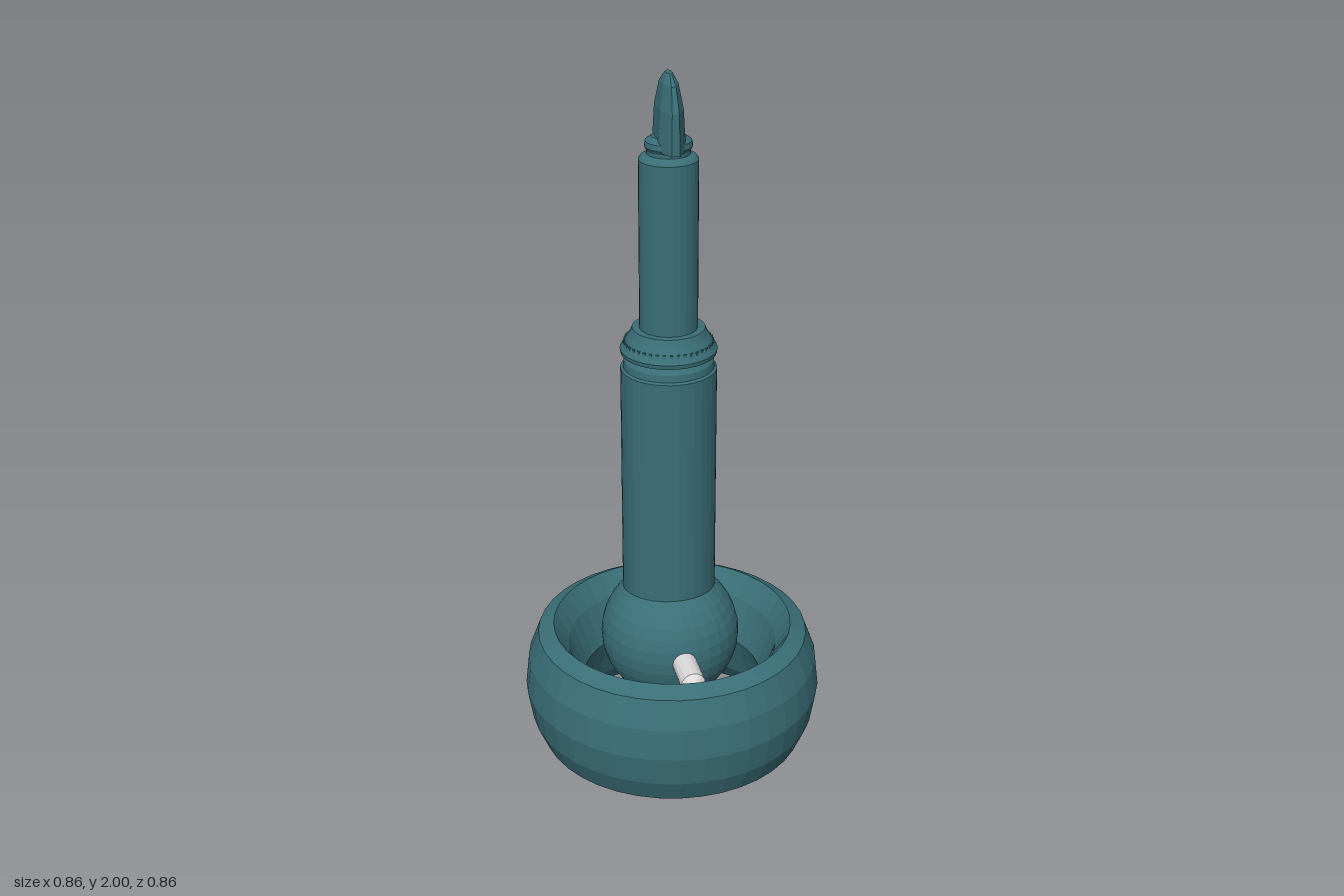
import * as THREE from 'three';
import { ConvexGeometry } from 'three/addons/geometries/ConvexGeometry.js';

export function createModel() {
  const model = new THREE.Group();
  const teal = new THREE.MeshStandardMaterial({ color: 0x3a6f78 });
  teal.name = 'teal';
  const pale = new THREE.MeshStandardMaterial({ color: 0xdcdada });
  pale.name = 'pale grey';

  const add = (name, geometry, material, x = 0, y = 0, z = 0) => {
    const mesh = new THREE.Mesh(geometry, material);
    mesh.name = name;
    mesh.position.set(x, y, z);
    model.add(mesh);
    return mesh;
  };
  // Facet a geometry so that every face is shaded flat
  const facet = (geometry) => {
    const g = geometry.index ? geometry.toNonIndexed() : geometry;
    g.computeVertexNormals();
    return g;
  };
  const turned = (profile, sides) =>
    facet(new THREE.LatheGeometry(profile.map(([r, y]) => new THREE.Vector2(r, y)), sides));

  const axisX = -0.005, axisZ = -0.02;

  // Bulging open base ring
  add('baseRing', turned([
    [0.345, 0], [0.385, 0.03], [0.415, 0.1], [0.43, 0.19], [0.42, 0.28], [0.39, 0.36],
    [0.345, 0.385], [0.303, 0.32], [0.26, 0.2], [0.303, 0.06], [0.345, 0],
  ], 40), teal);

  // Ball joint and the two pins that hold it in the ring
  add('ballJoint', facet(new THREE.SphereGeometry(0.2, 32, 18)), teal, -0.005, 0.35, -0.005);
  for (const side of [1, -1]) {
    const pin = add(side > 0 ? 'frontPin' : 'backPin', turned([
      [0, 0.1], [0.035, 0.1], [0.035, 0.3], [0.015, 0.32], [0, 0.32],
    ], 16), pale, -0.005, 0.35, 0);
    pin.rotation.x = side * Math.PI / 2;
  }

  // Thick lower shaft with a stepped neck
  add('lowerShaft', turned([
    [0, 0.42], [0.133, 0.42], [0.133, 1.18], [0.126, 1.185], [0.124, 1.205],
    [0.113, 1.22], [0.113, 1.235], [0, 1.235],
  ], 36), teal, axisX, 0, axisZ);

  // Flared collar with a ring of fine teeth
  add('collar', turned([
    [0, 1.222], [0.132, 1.226], [0.134, 1.238], [0.108, 1.28], [0.1, 1.298], [0, 1.3],
  ], 36), teal, axisX, 0, axisZ);
  const tooth = new THREE.BoxGeometry(0.008, 0.012, 0.012);
  for (let i = 0; i < 40; i++) {
    const a = (i / 40) * Math.PI * 2;
    const t = add('collarTooth', tooth, teal,
      axisX + 0.118 * Math.sin(a), 1.256, axisZ + 0.118 * Math.cos(a));
    t.rotation.y = a;
  }

  // Slim upper shaft, groove and neck
  add('upperShaft', turned([
    [0, 1.28], [0.08, 1.28], [0.08, 1.77], [0.074, 1.778], [0.058, 1.785],
    [0.058, 1.795], [0.064, 1.805], [0.062, 1.82], [0.045, 1.832], [0, 1.832],
  ], 32), teal, axisX, 0, axisZ);

  // Wedge blade: lens-shaped sections narrowing upwards
  const points = [];
  for (const [y, w, d] of [
    [1.8, 0.037, 0.086], [1.91, 0.031, 0.084], [1.975, 0.02, 0.06], [2, 0.008, 0.022],
  ]) {
    for (const [u, v] of [[0.3, 1], [1, 0.45], [1, -0.45], [0.3, -1]]) {
      points.push(new THREE.Vector3(u * w, y, v * d), new THREE.Vector3(-u * w, y, v * d));
    }
  }
  add('bladeTip', new ConvexGeometry(points), teal, axisX, 0, axisZ + 0.004);

  return model;
}
